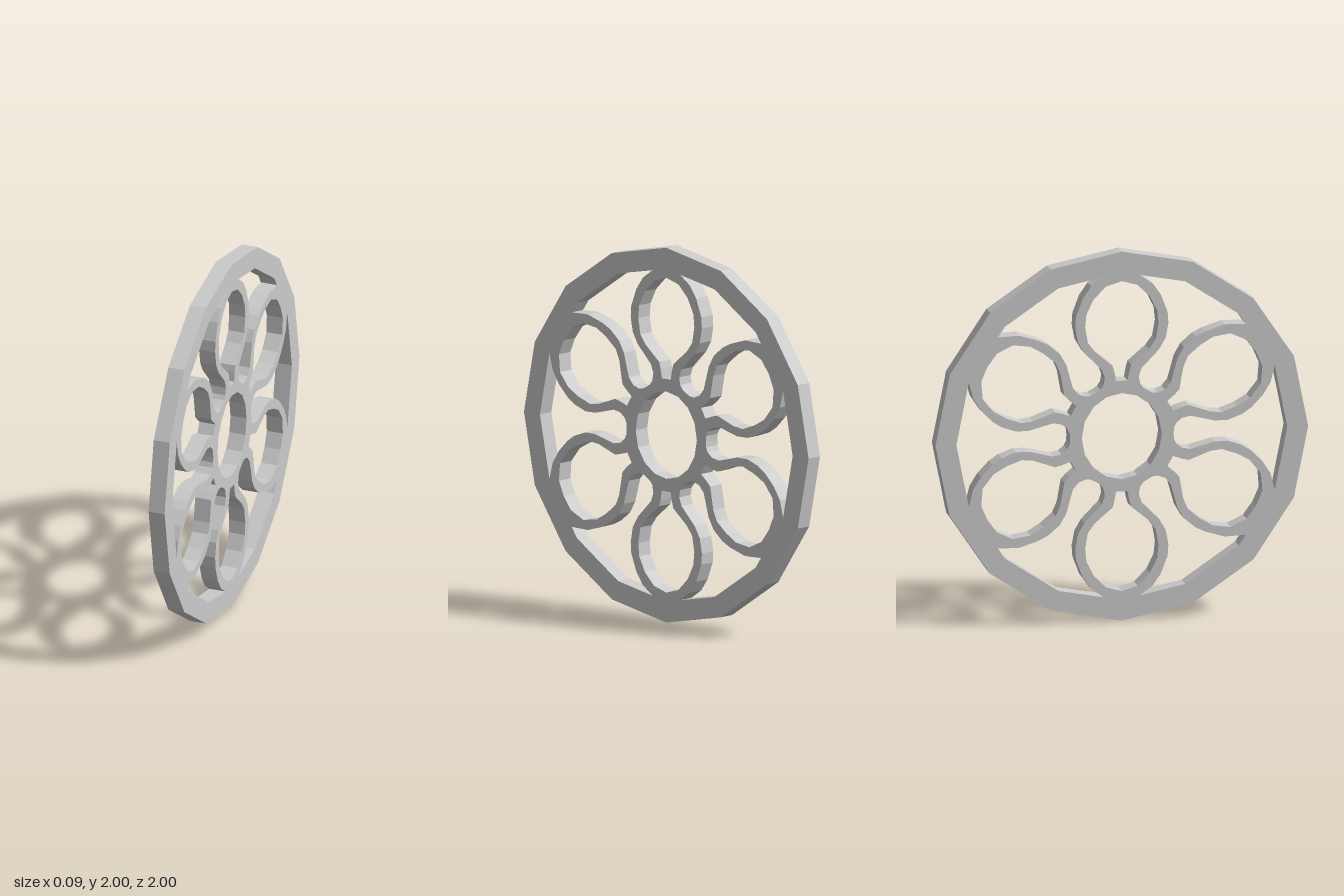
import * as THREE from 'three';

const HALF_WIDTH = 0.045;
const RIM_IN = 0.888;
const SIDES = 16;

// Half outlines of one petal, as [sideways, outward from the hub]
const innerStem = [[0.197, 0.6], [0.182, 0.515], [0.145, 0.465], [0.05, 0.385], [0.04, 0.35], [0.031, 0.3]];
const innerCapUpright = [[0, 0.84], [0.085, 0.815], [0.15, 0.75], [0.19, 0.67]];
const innerCapSlanted = [[0, 0.832], [0.085, 0.822], [0.163, 0.768], [0.198, 0.68]];
const petalOuter = [[0.246, 0.66], [0.25, 0.6], [0.235, 0.52], [0.2, 0.46], [0.107, 0.365],
  [0.091, 0.32], [0.098, 0.28], [0.114, 0.257], [0.139, 0.241]];
// Where a petal merges into the faceted rim
const tipUpright = [[0.097, 0.868], [0.165, 0.82], [0.21, 0.755]];
const tipSlantedSide = [[0.118, 0.88], [0.185, 0.815], [0.222, 0.745]];
const tipSlantedEnd = [[0.163, 0.862], [0.222, 0.766]];

// Point at an angle measured clockwise from straight up
const polar = (angle, rx, ry = rx) => new THREE.Vector2(rx * Math.sin(angle), ry * Math.cos(angle));

// Place a half outline on the petal at the given angle; side is 1 or -1
function place(points, angle, side) {
  const c = Math.cos(angle), s = Math.sin(angle);
  return points.map(([u, r]) => new THREE.Vector2(u * side * c + r * s, -u * side * s + r * c));
}

function ring(n, rx, ry = rx) {
  return Array.from({ length: n }, (_, i) => polar(i * 2 * Math.PI / n, rx, ry));
}

// Teardrop opening inside a petal
function petalHole(k) {
  const a = k * Math.PI / 3;
  const half = [...(k % 3 === 0 ? innerCapUpright : innerCapSlanted), ...innerStem];
  return [...place(half, a, 1), ...place(half.slice(1), a, -1).reverse()];
}

// Opening between petal k and petal k + 1, closed by the rim facets
function gapHole(k) {
  const a = k * Math.PI / 3, b = a + Math.PI / 3;
  const slantedTip = k % 3 === 1 ? tipSlantedSide : tipSlantedEnd;
  const tip = petal => (petal % 3 === 0 ? tipUpright : slantedTip);
  const first = [...tip(k), ...petalOuter];
  const last = [...tip(k + 1), ...petalOuter.slice(0, -1)];
  const from = a + Math.atan2(...first[0]), to = b - Math.atan2(...last[0]);
  const rim = ring(SIDES, RIM_IN).filter((_, i) => {
    const t = i * 2 * Math.PI / SIDES;
    return t > from && t < to;
  });
  return [...place(first, a, 1), ...place(last, b, -1).reverse(), ...rim.reverse()];
}

export function createModel() {
  const model = new THREE.Group();
  model.name = 'wheel';

  // Faceted disc (counter-clockwise) pierced by the hub hole, six petals and six gaps
  const shape = new THREE.Shape(ring(SIDES, 1).reverse());
  shape.holes.push(new THREE.Path(ring(16, 0.215, 0.233)));
  for (let k = 0; k < 6; k++) {
    shape.holes.push(new THREE.Path(petalHole(k)), new THREE.Path(gapHole(k)));
  }
  const geometry = new THREE.ExtrudeGeometry(shape, { depth: HALF_WIDTH * 2, bevelEnabled: false });
  geometry.translate(0, 0, -HALF_WIDTH);
  geometry.rotateY(Math.PI / 2);

  const material = new THREE.MeshStandardMaterial({ color: 0xcccccc, flatShading: true });
  const wheel = new THREE.Mesh(geometry, material);
  wheel.name = 'petalWheel';
  wheel.position.y = 1;
  model.add(wheel);
  return model;
}
